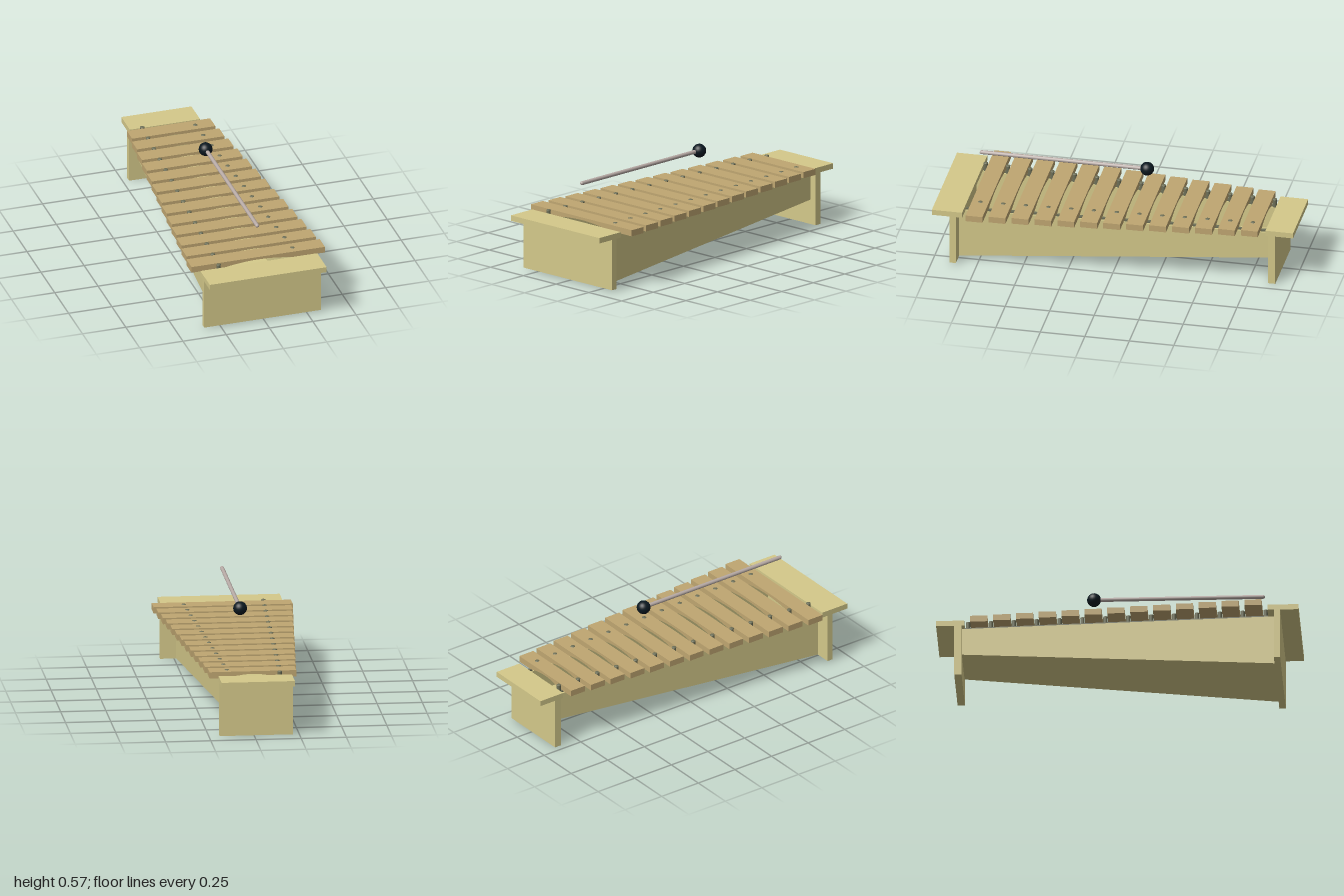
import * as THREE from 'three';

const wood = new THREE.MeshStandardMaterial({ color: 0xd4c98a });
const barWood = new THREE.MeshStandardMaterial({ color: 0xbfa671 });
const metal = new THREE.MeshStandardMaterial({ color: 0x6e7058 });
const stickMat = new THREE.MeshStandardMaterial({ color: 0xb8aba6 });
const headMat = new THREE.MeshStandardMaterial({ color: 0x0b1820 });

const FRONT = 0.865, BACK = -0.86;
const BARS = 13, STEP = 0.1263, FIRST = 0.752;

function add(parent, name, geometry, material, x = 0, y = 0, z = 0) {
  const mesh = new THREE.Mesh(geometry, material);
  mesh.name = name;
  mesh.position.set(x, y, z);
  parent.add(mesh);
  return mesh;
}

// Tapered block between two end rectangles [x0, x1, y0, y1]
function taperedBlock(front, back, zFront = FRONT, zBack = BACK) {
  const g = new THREE.BoxGeometry(1, 1, 1);
  const p = g.attributes.position;
  for (let i = 0; i < p.count; i++) {
    const isFront = p.getZ(i) > 0;
    const r = isFront ? front : back;
    p.setXYZ(i, p.getX(i) > 0 ? r[1] : r[0], p.getY(i) > 0 ? r[3] : r[2], isFront ? zFront : zBack);
  }
  g.computeVertexNormals();
  return g;
}

// Straight block given by its limits
function block(x0, x1, y0, y1, z0, z1) {
  return taperedBlock([x0, x1, y0, y1], [x0, x1, y0, y1], z1, z0);
}

// Bar with an arched hollow underneath
function barGeometry(x0, x1, hollow) {
  const s = new THREE.Shape();
  s.moveTo(x0, 0);
  s.lineTo(-hollow, 0);
  s.quadraticCurveTo(0, 0.04, hollow, 0);
  s.lineTo(x1, 0);
  s.lineTo(x1, 0.035);
  s.lineTo(x0, 0.035);
  s.closePath();
  const g = new THREE.ExtrudeGeometry(s, { depth: 0.095, bevelEnabled: false, curveSegments: 14 });
  g.translate(0, 0, -0.0475);
  return g;
}

function pin(parent, name, x, z) {
  add(parent, name, new THREE.CylinderGeometry(0.012, 0.012, 0.046, 12), metal, x, 0.318, z);
  const head = add(parent, name + 'Head', new THREE.SphereGeometry(0.013, 12, 6, 0, Math.PI * 2, 0, Math.PI / 2),
    metal, x, 0.34, z);
  head.scale.y = 0.4;
}

export function createModel() {
  const model = new THREE.Group();
  model.name = 'xylophone';

  // End boards and their cover plates
  const frame = new THREE.Group();
  frame.name = 'frame';
  model.add(frame);
  add(frame, 'frontBoard', block(-0.345, 0.33, 0.008, 0.295, FRONT, 0.9), wood);
  add(frame, 'frontPlate', block(-0.345, 0.33, 0.295, 0.326, 0.83, 1), wood);
  add(frame, 'backBoard', block(-0.215, 0.19, 0, 0.295, -0.9, BACK), wood);
  add(frame, 'backPlate', block(-0.215, 0.19, 0.295, 0.326, -1, -0.845), wood);

  // Tapering sound box, open at the top, with a sloping floor
  const t = 0.035;
  const fx = [-0.258, 0.243], bx = [-0.17, 0.153];
  add(frame, 'rightWall', taperedBlock([fx[0], fx[0] + t, 0.01, 0.295], [bx[0], bx[0] + t, 0.14, 0.295]), wood);
  add(frame, 'leftWall', taperedBlock([fx[1] - t, fx[1], 0.01, 0.295], [bx[1] - t, bx[1], 0.14, 0.295]), wood);
  add(frame, 'floor', taperedBlock([fx[0] + t, fx[1] - t, 0.01, 0.04], [bx[0] + t, bx[1] - t, 0.14, 0.17]), wood);

  // Thin cushion strips on the walls
  for (const [name, f, b] of [['rightStrip', -0.24, -0.152], ['leftStrip', 0.225, 0.135]]) {
    add(frame, name, taperedBlock([f - 0.008, f + 0.008, 0.294, 0.305], [b - 0.008, b + 0.008, 0.294, 0.305], 0.83, -0.845), metal);
  }

  // Sound bars, each pinned through its left end
  const bars = new THREE.Group();
  bars.name = 'bars';
  model.add(bars);
  for (let i = 0; i < BARS; i++) {
    const k = i / (BARS - 1), z = FIRST - i * STEP;
    const x0 = THREE.MathUtils.lerp(-0.386, -0.243, k);
    const x1 = THREE.MathUtils.lerp(0.384, 0.237, k);
    add(bars, 'bar' + (i + 1), barGeometry(x0, x1, x1 * 0.53), barWood, 0, 0.306, z);
    pin(bars, 'barPin', THREE.MathUtils.lerp(0.212, 0.136, k), z);
  }

  // Guide pins in the gaps on the right side
  for (let i = 0; i <= BARS; i++) {
    pin(bars, 'guidePin', THREE.MathUtils.lerp(-0.235, -0.15, i / BARS), FIRST + STEP / 2 - i * STEP);
  }

  // Mallet hovering above the bars
  const mallet = new THREE.Group();
  mallet.name = 'mallet';
  mallet.position.set(-0.004, 0.533, 0);
  model.add(mallet);
  const stick = add(mallet, 'stick', new THREE.CylinderGeometry(0.011, 0.011, 0.93, 16), stickMat, 0, 0, 0.325);
  stick.rotation.x = Math.PI / 2;
  add(mallet, 'stickEnd', new THREE.SphereGeometry(0.011, 16, 10), stickMat, 0, 0, 0.79);
  add(mallet, 'head', new THREE.SphereGeometry(0.038, 28, 18), headMat, 0, 0, -0.14);

  return model;
}
